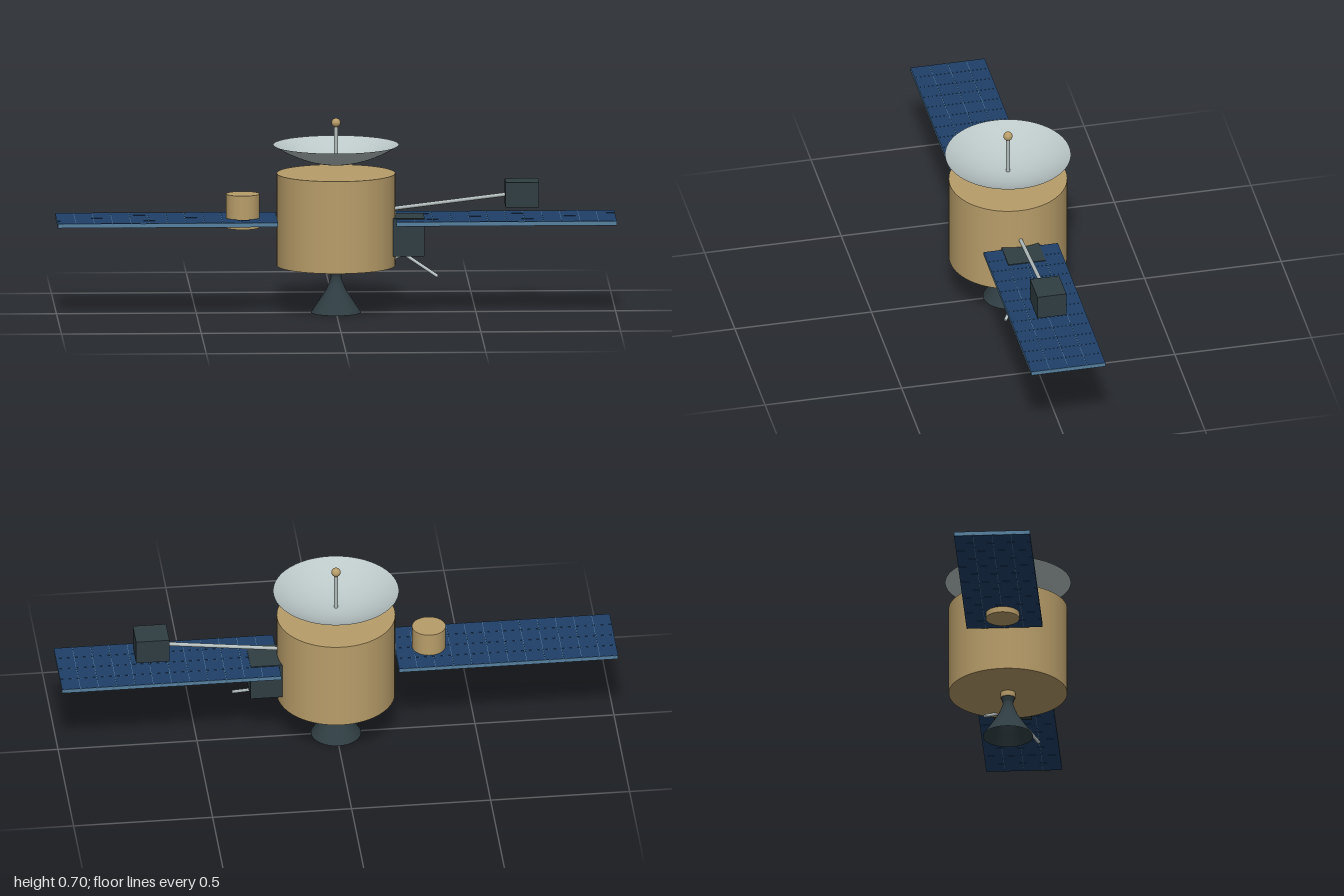
import * as THREE from 'three';

const mat = (color, side = THREE.FrontSide) => new THREE.MeshStandardMaterial({ color, side });
const gold = mat(0xb89d69), dark = mat(0x2f3d42), metal = mat(0xb4bebe);
const edge = mat(0x56809f), cell = mat(0x1f4068);
const dishMat = mat(0xbcc8c8, THREE.DoubleSide), bellMat = mat(0x2f3d42, THREE.DoubleSide);

export function createModel() {
  const model = new THREE.Group();

  const add = (name, geometry, material, x = 0, y = 0, z = 0, parent = model) => {
    const mesh = new THREE.Mesh(geometry, material);
    mesh.name = name;
    mesh.position.set(x, y, z);
    parent.add(mesh);
    return mesh;
  };
  // upright cylinder between two heights
  const drum = (name, r, y0, y1, material, x = 0, sides = 64) =>
    add(name, new THREE.CylinderGeometry(r, r, y1 - y0, sides), material, x, (y0 + y1) / 2);
  // thin round bar between two points
  const rod = (name, from, to, r) => {
    const a = new THREE.Vector3(...from), b = new THREE.Vector3(...to);
    const dir = b.clone().sub(a);
    const bar = add(name, new THREE.CylinderGeometry(r, r, dir.length(), 16), metal);
    bar.position.copy(a).add(b).multiplyScalar(0.5);
    bar.quaternion.setFromUnitVectors(new THREE.Vector3(0, 1, 0), dir.normalize());
  };
  const points = (list) => list.map(([r, y]) => new THREE.Vector2(r, y));

  // main body and engine
  drum('body', 0.212, 0.17, 0.503, gold);
  drum('engineCollar', 0.027, 0.15, 0.17, gold, 0, 32);
  const bell = points([[0.09, 0], [0.062, 0.042], [0.034, 0.085], [0.025, 0.107],
    [0.018, 0.127], [0.021, 0.138], [0.025, 0.151]]);
  add('engineBell', new THREE.LatheGeometry(bell, 48), bellMat);

  // parabolic dish with its feed mast
  const bowl = [];
  for (let i = 0; i <= 16; i++) {
    const r = i / 16;
    bowl.push([0.225 * r, 0.534 + 0.072 * r * r]);
  }
  add('dish', new THREE.LatheGeometry(points(bowl), 64), dishMat);
  drum('feedMast', 0.007, 0.535, 0.68, metal, 0, 16);
  add('feedTip', new THREE.SphereGeometry(0.0165, 24, 16), gold, 0, 0.685, 0);

  // solar wings: slab with a raised grid of cells on both faces
  const inner = 0.212, length = 1 - inner, depth = 0.272, cols = 12, rows = 4;
  const cw = length / cols, cd = depth / rows;
  for (const s of [1, -1]) {
    const wing = new THREE.Group();
    wing.name = s > 0 ? 'leftSolarWing' : 'rightSolarWing';
    wing.position.set(s * (inner + length / 2), 0.3365, 0);
    model.add(wing);
    add('panel', new THREE.BoxGeometry(length, 0.014, depth), edge, 0, 0, 0, wing);
    const cellGeo = new THREE.BoxGeometry(cw - 0.0015, 0.0155, cd - 0.0015);
    for (let i = 0; i < cols; i++)
      for (let j = 0; j < rows; j++)
        add('cell', cellGeo, cell, (i + 0.5) * cw - length / 2, 0, (j + 0.5) * cd - depth / 2, wing);
  }

  // round pod through the right wing
  drum('pod', 0.06, 0.308, 0.43, gold, -0.334, 48);

  // instrument box with two whisker antennas
  add('instrumentBox', new THREE.BoxGeometry(0.136, 0.137, 0.136), dark, 0.247, 0.2785, 0);
  for (const s of [1, -1])
    rod('whisker', [0.243, 0.21, 0], [0.243 + s * 0.118, 0.141, s * 0.09], 0.006);

  // sensor box on a slanted boom
  rod('boom', [0.18, 0.371, 0], [0.64, 0.427, 0], 0.007);
  add('sensorBox', new THREE.BoxGeometry(0.12, 0.09, 0.106), dark, 0.665, 0.428, 0);

  return model;
}
